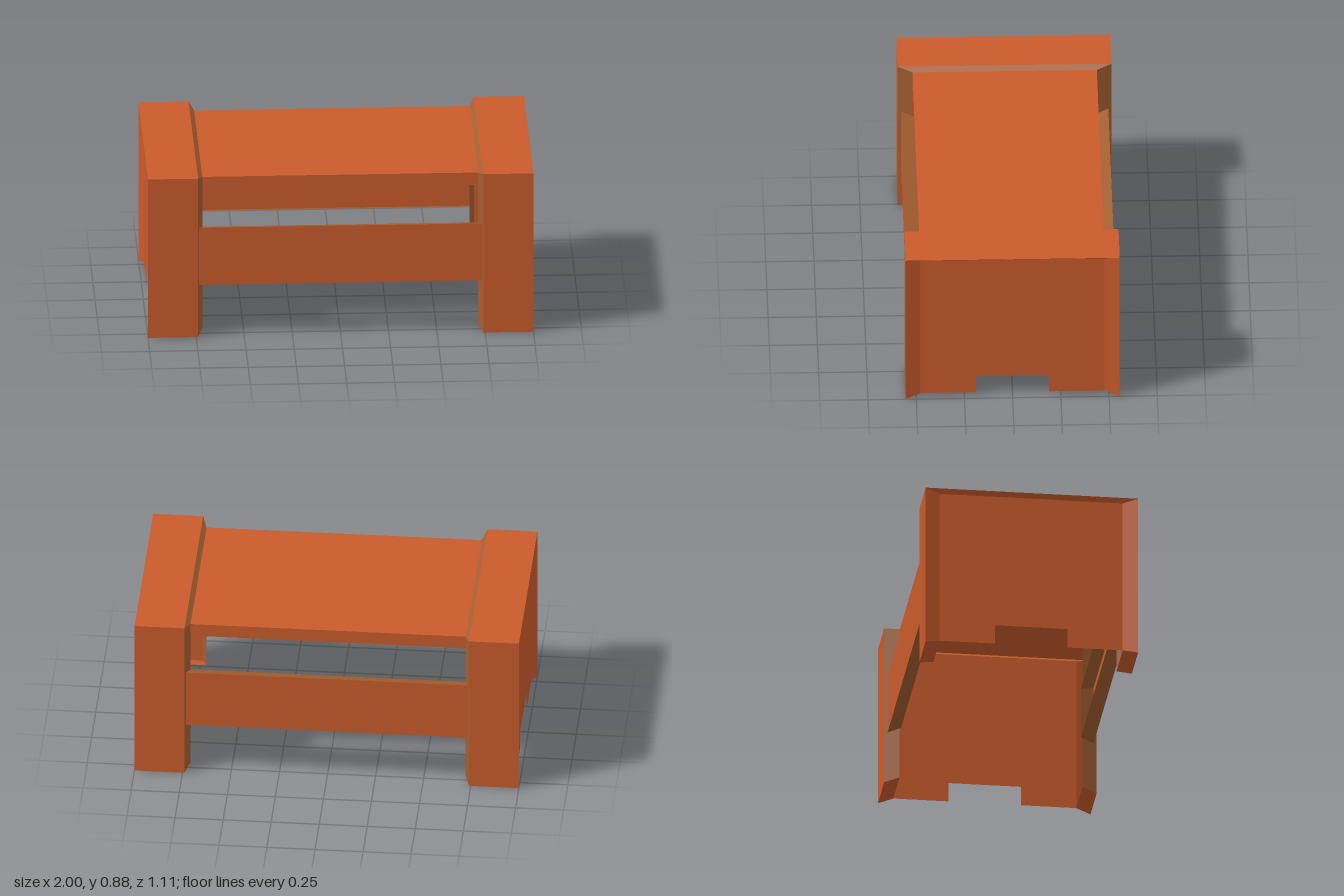
import * as THREE from 'three';

export function createModel() {
  const model = new THREE.Group();
  model.name = 'table';
  const side = THREE.DoubleSide; // the frame is made of open sheets
  const orange = new THREE.MeshStandardMaterial({ name: 'orange', color: 0xc95b2b, side });
  const brown = new THREE.MeshStandardMaterial({ name: 'brown edge', color: 0xa35e30, side });

  const add = (parent, name, geometry, material) => {
    const mesh = new THREE.Mesh(geometry, material);
    mesh.name = name;
    parent.add(mesh);
    return mesh;
  };

  // flat four-cornered sheet, corners counter-clockwise; mirrored by sx and sz
  const sheet = (parent, name, material, corners, sx, sz) => {
    const p = corners.map(([x, y, z]) => [x * sx, y, z * sz]);
    if (sx * sz < 0) p.reverse();
    const g = new THREE.BufferGeometry();
    g.setAttribute('position', new THREE.Float32BufferAttribute(p.flat(), 3));
    g.setIndex([0, 1, 2, 0, 2, 3]);
    add(parent, name, g.toNonIndexed(), material).geometry.computeVertexNormals();
  };

  // outer frame edge and its inset edge
  const X = 1, Xi = 0.975, W = 0.74, Wi = 0.715;
  const Y = 0.88, Yi = 0.86, B = 0, Bi = 0.02;
  const Z = 0.555, Zi = 0.478;

  // end panel outline with a notch between the feet
  const outline = new THREE.Shape([
    [-Zi, Bi], [-0.19, Bi], [-0.19, 0.125], [0.19, 0.125],
    [0.19, Bi], [Zi, Bi], [Zi, Yi], [-Zi, Yi],
  ].map(([x, y]) => new THREE.Vector2(x, y)));

  for (const sx of [-1, 1]) {
    const end = new THREE.Group();
    end.name = sx > 0 ? 'leftEnd' : 'rightEnd';
    model.add(end);

    const panel = add(end, 'endPanel', new THREE.ShapeGeometry(outline), orange);
    panel.rotation.y = sx * Math.PI / 2;
    panel.position.x = sx * Xi;

    // top strip with its bevelled rims
    sheet(end, 'topStrip', orange, [[W, Y, Z], [X, Y, Z], [X, Y, -Z], [W, Y, -Z]], sx, 1);
    sheet(end, 'topStripInnerRim', brown, [[W, Y, Z], [W, Y, -Z], [Wi, Yi, -Zi], [Wi, Yi, Zi]], sx, 1);
    sheet(end, 'topStripOuterRim', orange, [[X, Y, -Z], [X, Y, Z], [Xi, Yi, Zi], [Xi, Yi, -Zi]], sx, 1);

    // hollow legs, front and back
    for (const sz of [-1, 1]) {
      const leg = new THREE.Group();
      leg.name = sz > 0 ? 'frontLeg' : 'backLeg';
      end.add(leg);
      sheet(leg, 'legFace', orange, [[W, B, Z], [X, B, Z], [X, Y, Z], [W, Y, Z]], sx, sz);
      sheet(leg, 'legInnerRim', brown, [[W, B, Z], [W, Y, Z], [Wi, Yi, Zi], [Wi, Bi, Zi]], sx, sz);
      sheet(leg, 'legOuterRim', orange, [[X, Y, Z], [X, B, Z], [Xi, Bi, Zi], [Xi, Yi, Zi]], sx, sz);
      sheet(leg, 'legFoot', orange, [[X, B, Z], [W, B, Z], [Wi, Bi, Zi], [Xi, Bi, Zi]], sx, sz);
    }
  }

  // table top
  const top = add(model, 'tableTop', new THREE.BoxGeometry(Wi * 2, 0.07, Zi * 2), orange);
  top.position.y = Yi - 0.035;

  // hollow rails between the legs
  const R = 0.737, Ri = 0.715, lo = 0.283, hi = 0.6, rz = 0.538, ri = 0.47, d = 0.02;
  for (const sz of [-1, 1]) {
    const rail = new THREE.Group();
    rail.name = sz > 0 ? 'frontRail' : 'backRail';
    model.add(rail);
    sheet(rail, 'railFace', orange, [[-R, lo, rz], [R, lo, rz], [R, hi, rz], [-R, hi, rz]], 1, sz);
    sheet(rail, 'railTopRim', brown, [[-R, hi, rz], [R, hi, rz], [Ri, hi - d, ri], [-Ri, hi - d, ri]], 1, sz);
    sheet(rail, 'railBottomRim', brown, [[R, lo, rz], [-R, lo, rz], [-Ri, lo + d, ri], [Ri, lo + d, ri]], 1, sz);
    for (const sx of [-1, 1]) {
      sheet(rail, 'railEndRim', brown, [[R, hi, rz], [R, lo, rz], [Ri, lo + d, ri], [Ri, hi - d, ri]], sx, sz);
    }
  }

  return model;
}
